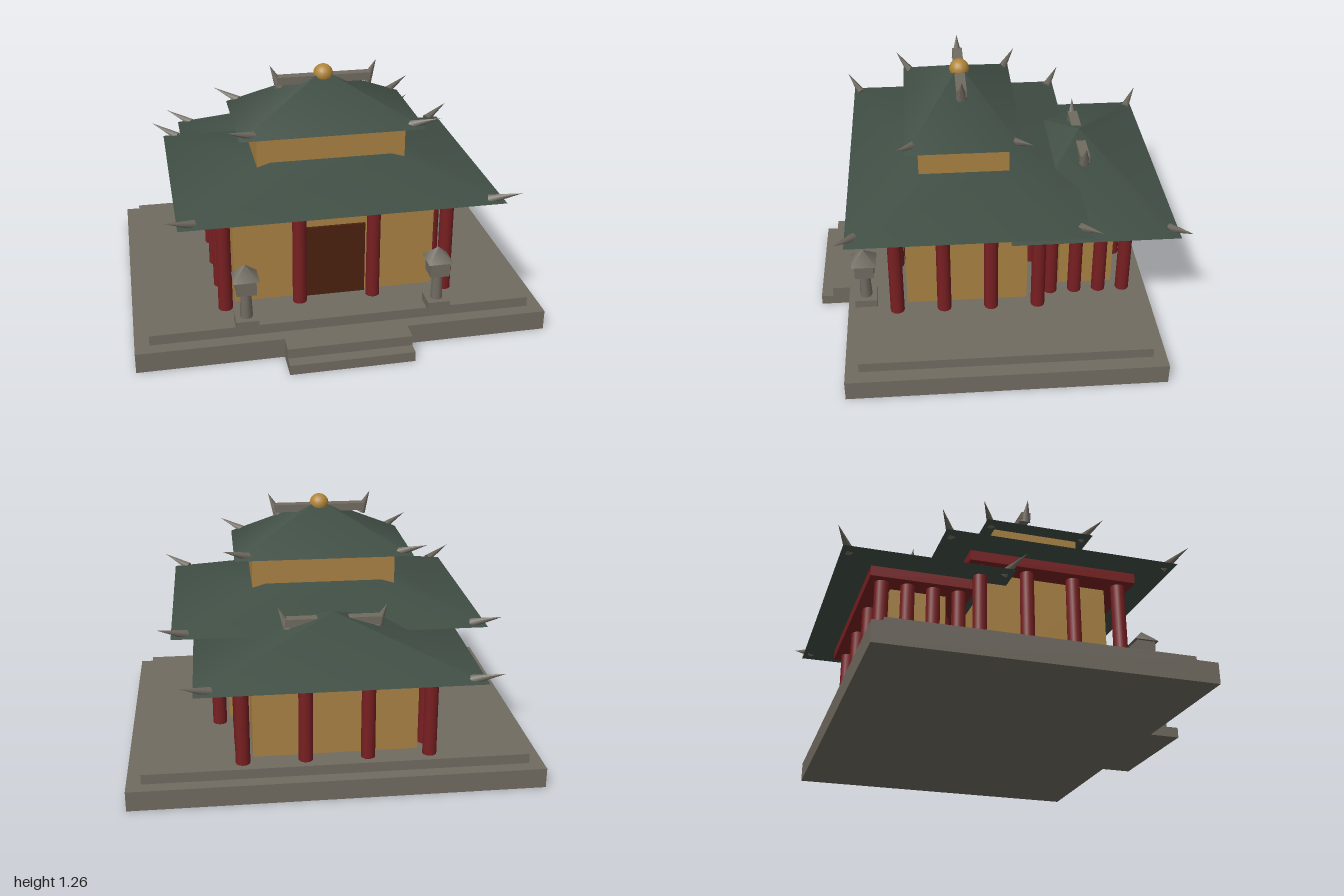
import * as THREE from 'three';

const mat = (name, color) => {
  const m = new THREE.MeshStandardMaterial({ color });
  m.name = name;
  return m;
};

export function createModel() {
  const stone = mat('stone grey', 0x706b61);
  const plaster = mat('ochre plaster', 0xa88143);
  const lacquer = mat('red lacquer', 0x781f21);
  const tile = mat('green tile', 0x414f45);
  const wood = mat('dark wood', 0x4a200e);
  const gold = mat('gold', 0xb08538);

  const model = new THREE.Group();
  model.name = 'pavilion';

  const add = (parent, name, geometry, material, x = 0, y = 0, z = 0) => {
    const mesh = new THREE.Mesh(geometry, material);
    mesh.name = name;
    mesh.position.set(x, y, z);
    parent.add(mesh);
    return mesh;
  };
  // Box given by its bottom height
  const box = (parent, name, material, w, h, d, x, y, z) =>
    add(parent, name, new THREE.BoxGeometry(w, h, d), material, x, y + h / 2, z);

  // Cone running from a base point to a tip
  const horn = (parent, name, base, tip, r) => {
    const axis = tip.clone().sub(base);
    const length = axis.length();
    const mesh = add(parent, name, new THREE.ConeGeometry(r, length, 6), stone);
    mesh.position.copy(base).add(tip).multiplyScalar(0.5);
    mesh.quaternion.setFromUnitVectors(new THREE.Vector3(0, 1, 0), axis.normalize());
  };

  // Four-sided roof with upturned corner horns; top is the ratio kept at its upper edge
  const roof = (parent, name, hx, hz, y, h, top) => {
    const g = new THREE.CylinderGeometry(Math.SQRT2 * top, Math.SQRT2, 1, 4);
    g.rotateY(Math.PI / 4).scale(hx, h, hz);
    add(parent, name, g, tile, 0, y + h / 2, 0);
    for (const sx of [-1, 1]) for (const sz of [-1, 1]) {
      horn(parent, 'cornerHorn',
        new THREE.Vector3(sx * (hx - 0.075), y + 0.01, sz * (hz - 0.042)),
        new THREE.Vector3(sx * (hx + 0.058), y + 0.065, sz * (hz + 0.036)), 0.023);
    }
  };

  // Ridge bar with a horn at each end
  const ridge = (parent, y) => {
    box(parent, 'ridgeBar', stone, 0.46, 0.038, 0.05, 0, y - 0.019, 0);
    for (const s of [-1, 1]) {
      horn(parent, 'ridgeHorn', new THREE.Vector3(s * 0.214, y - 0.03, 0),
        new THREE.Vector3(s * 0.262, y + 0.077, 0), 0.028);
    }
  };

  // Walls, door, columns all round and the beam slab
  const hall = (name, z, cx, cz, h) => {
    const g = new THREE.Group();
    g.name = name;
    g.position.z = z;
    model.add(g);
    const wz = cz - 0.05;
    box(g, 'walls', plaster, 2 * (cx - 0.05), h, 2 * wz, 0, 0.15, 0);
    box(g, 'door', wood, 0.6 * (cx - 0.05), h * 0.75, 0.015, 0, 0.15, wz + 0.0075);
    for (let i = 0; i < 4; i++) for (let j = 0; j < 4; j++) {
      if (i % 3 && j % 3) continue;
      add(g, 'column', new THREE.CylinderGeometry(0.034, 0.035, h, 12), lacquer,
        cx * (i / 1.5 - 1), 0.15 + h / 2, cz * (j / 1.5 - 1));
    }
    box(g, 'beam', lacquer, 2 * (cx + 0.065), 0.05, 2 * (cz + 0.065), 0, 0.15 + h, 0);
    return g;
  };

  // Platform and steps
  box(model, 'platformBase', stone, 2, 0.1, 1.53, 0, 0, -0.015);
  box(model, 'platformTop', stone, 1.86, 0.05, 1.4, 0, 0.1, -0.015);
  box(model, 'lowerStep', stone, 0.6, 0.05, 0.15, 0, 0, 0.825);
  box(model, 'upperStep', stone, 0.6, 0.05, 0.09, 0, 0.05, 0.795);

  // Main hall with two roof tiers
  const main = hall('mainHall', 0.15, 0.55, 0.35, 0.5);
  roof(main, 'lowerRoof', 0.77, 0.57, 0.7, 0.145, 0.385);
  box(main, 'upperStorey', plaster, 0.725, 0.185, 0.438, 0, 0.8, 0);
  roof(main, 'upperRoof', 0.45, 0.28, 0.985, 0.235, 0);
  ridge(main, 1.18);
  add(main, 'finial', new THREE.SphereGeometry(0.049, 16, 12), gold, 0, 1.2, 0);

  // Rear hall
  const rear = hall('rearHall', -0.46, 0.45, 0.185, 0.4);
  roof(rear, 'rearRoof', 0.668, 0.405, 0.6, 0.23, 0);
  ridge(rear, 0.785);

  // Stone lanterns
  for (const s of [-1, 1]) {
    const g = new THREE.Group();
    g.name = 'lantern';
    g.position.set(s * 0.467, 0.15, 0.655);
    model.add(g);
    box(g, 'lanternFoot', stone, 0.11, 0.04, 0.11, 0, 0, 0);
    add(g, 'lanternPost', new THREE.CylinderGeometry(0.025, 0.031, 0.135, 8), stone, 0, 0.107, 0);
    box(g, 'lanternBox', stone, 0.094, 0.076, 0.094, 0, 0.175, 0);
    const cap = new THREE.ConeGeometry(0.086, 0.066, 4).rotateY(Math.PI / 4);
    add(g, 'lanternCap', cap, stone, 0, 0.283, 0);
  }

  return model;
}
